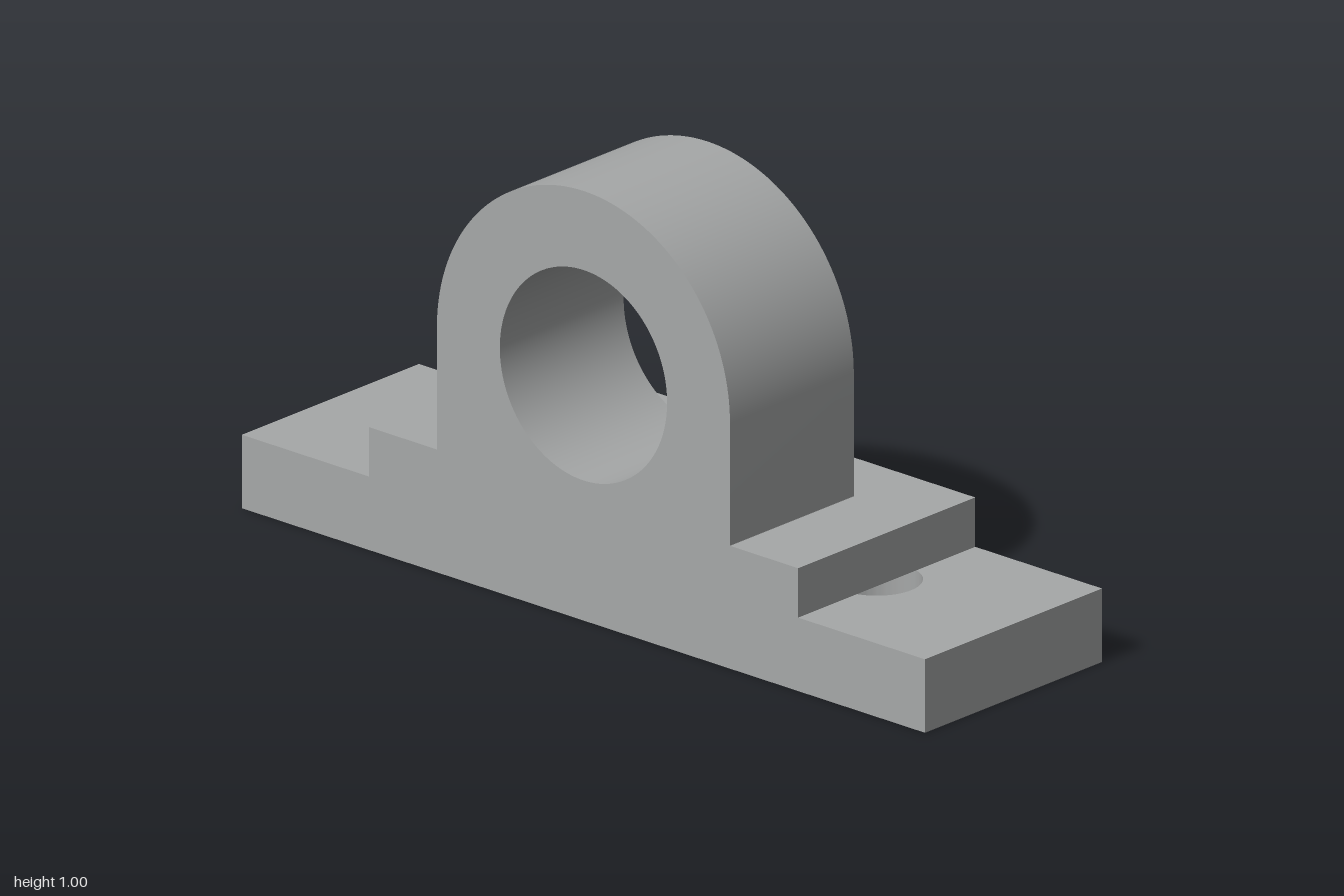
import * as THREE from 'three';
import { toCreasedNormals } from 'three/addons/utils/BufferGeometryUtils.js';

const HALF_DEPTH = 0.286;    // base reaches z = -0.286 .. 0.286
const PLATE_TOP = 0.171;
const STEP_TOP = 0.286;
const BORE_Y = 0.571;        // height of the bearing axis
const ARCH_R = 0.429;

// Solid extrusion with smooth round walls and sharp edges
function extrude(shape, depth) {
  const geometry = new THREE.ExtrudeGeometry(shape, { depth, bevelEnabled: false, curveSegments: 48 });
  return toCreasedNormals(geometry, 0.5);
}

function circleHole(x, y, radius) {
  return new THREE.Path().absarc(x, y, radius, 0, Math.PI * 2, true);
}

export function createModel() {
  const model = new THREE.Group();
  model.name = 'bearingBlock';
  const grey = new THREE.MeshStandardMaterial({ color: 0xa6a8a8 });
  grey.name = 'metal grey';

  const add = (name, geometry) => {
    const mesh = new THREE.Mesh(geometry, grey);
    mesh.name = name;
    model.add(mesh);
    return mesh;
  };

  // Base plate with two bolt holes, partly covered by the step above
  const plate = new THREE.Shape()
    .moveTo(-1, -HALF_DEPTH).lineTo(1, -HALF_DEPTH)
    .lineTo(1, HALF_DEPTH).lineTo(-1, HALF_DEPTH).closePath();
  for (const side of [-1, 1]) plate.holes.push(circleHole(side * 0.6, 0, 0.1));
  add('basePlate', extrude(plate, PLATE_TOP).rotateX(-Math.PI / 2));

  // Raised step across the middle
  const stepHeight = STEP_TOP - PLATE_TOP;
  add('raisedStep', new THREE.BoxGeometry(1.257, stepHeight, HALF_DEPTH * 2))
    .position.y = PLATE_TOP + stepHeight / 2;

  // Arched housing with the bore, flush with the front of the base
  const arch = new THREE.Shape()
    .moveTo(-ARCH_R, STEP_TOP).lineTo(ARCH_R, STEP_TOP).lineTo(ARCH_R, BORE_Y)
    .absarc(0, BORE_Y, ARCH_R, 0, Math.PI, false).closePath();
  arch.holes.push(circleHole(0, BORE_Y, 0.245));
  add('archedHousing', extrude(arch, 0.4)).position.z = HALF_DEPTH - 0.4;

  return model;
}
